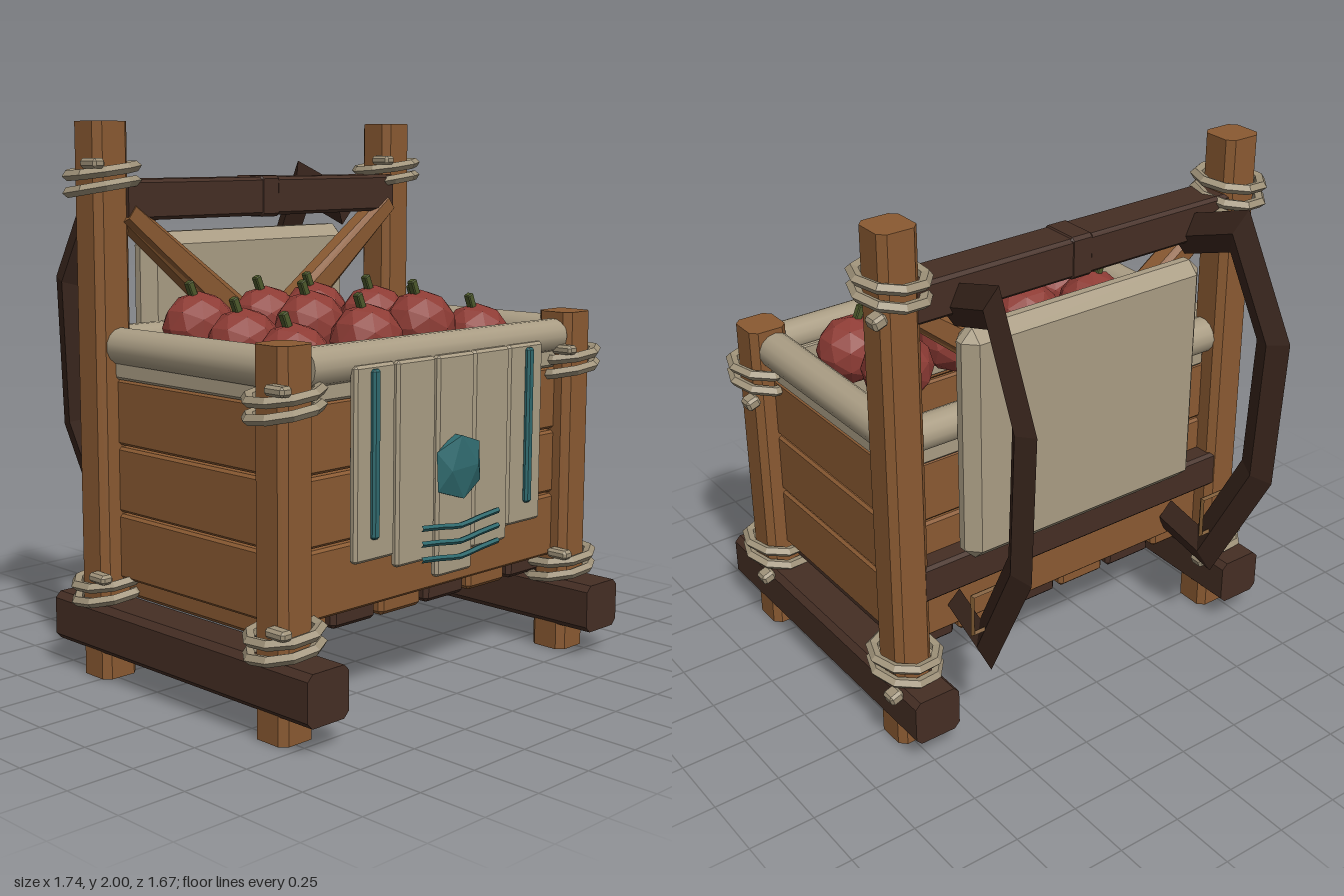
import * as THREE from 'three';
import { ConvexGeometry } from 'three/addons/geometries/ConvexGeometry.js';

const mat = (color, extra = {}) => new THREE.MeshStandardMaterial({ color, flatShading: true, ...extra });
const WOOD = mat(0x8a5a32), DARK = mat(0x452e24), CLOTH = mat(0xaa9d84), ROPE = mat(0xa0937a);
const ROLL = mat(0xaa9d84, { flatShading: false });
const TEAL = mat(0x2f6a6e), RED = mat(0x8e3c35), GREEN = mat(0x4e5a2c), BRASS = mat(0x7a5730);

// Box with every edge chamfered by b
function chamferBox(w, h, d, b) {
  const pts = [];
  for (const x of [-1, 1]) for (const y of [-1, 1]) for (const z of [-1, 1]) for (let a = 0; a < 3; a++) {
    const half = [w / 2 - b, h / 2 - b, d / 2 - b];
    half[a] += b;
    pts.push(new THREE.Vector3(x * half[0], y * half[1], z * half[2]));
  }
  return new ConvexGeometry(pts);
}

// Beam along z with square ends and chamfered long edges
function beam(w, h, length, b) {
  const x = w / 2, y = h / 2;
  const shape = new THREE.Shape([[x - b, -y], [x, b - y], [x, y - b], [x - b, y], [b - x, y], [-x, y - b], [-x, b - y], [b - x, -y]]
    .map(p => new THREE.Vector2(...p)));
  return new THREE.ExtrudeGeometry(shape, { depth: length, bevelEnabled: false }).translate(0, 0, -length / 2);
}

// Strap: diamond cross-section mitred along a path of [z, y] points
function strapGeometry(path, halfWidth, halfThick) {
  const pts = path.map(([z, y]) => new THREE.Vector2(z, y));
  const pos = [], idx = [];
  pts.forEach((p, i) => {
    const a = p.clone().sub(pts[Math.max(i - 1, 0)]).normalize();
    const b = pts[Math.min(i + 1, pts.length - 1)].clone().sub(p).normalize();
    const t = a.clone().add(b).normalize();
    const k = halfWidth / Math.max(t.dot(i ? a : b), 0.75);
    const nz = -t.y * k, ny = t.x * k;
    pos.push(0, p.y + ny, p.x + nz, halfThick, p.y, p.x, 0, p.y - ny, p.x - nz, -halfThick, p.y, p.x);
    if (i) for (let j = 0; j < 4; j++) {
      const c = (i - 1) * 4 + j, d = (i - 1) * 4 + (j + 1) % 4;
      idx.push(c, d, c + 4, d, d + 4, c + 4);
    }
  });
  const g = new THREE.BufferGeometry();
  g.setAttribute('position', new THREE.Float32BufferAttribute(pos, 3));
  g.setIndex(idx);
  const flat = g.toNonIndexed();
  flat.computeVertexNormals();
  return flat;
}

export function createModel() {
  const model = new THREE.Group();
  const add = (name, geo, material, x, y, z, parent = model) => {
    const m = new THREE.Mesh(geo, material);
    m.name = name;
    m.position.set(x, y, z);
    parent.add(m);
    return m;
  };
  const box = (name, material, w, h, d, x, y, z, b = 0.01, parent = model) =>
    add(name, chamferBox(w, h, d, b), material, x, y, z, parent);

  const PX = 0.73, FZ = 0.635, BZ = -0.295;

  // Rope lashing: two tilted loops and two loose ends
  const loop = new THREE.TorusGeometry(0.121, 0.023, 5, 9);
  loop.rotateX(Math.PI / 2).scale(1, 0.85, 1);
  const lashing = (x, y, z) => {
    const g = new THREE.Group();
    g.name = 'ropeLashing';
    g.position.set(x, y, z);
    [0.028, -0.028].forEach((dy, i) => {
      const r = add('ropeLoop', loop, ROPE, 0, dy, 0, g);
      r.rotation.set(i ? -0.12 : -0.06, 0, 0.12);
    });
    box('ropeEnd', ROPE, 0.055, 0.045, 0.06, 0.11, -0.068, -0.09, 0.01, g).rotation.z = -0.35;
    box('ropeEnd', ROPE, 0.05, 0.035, 0.09, -0.09, 0.055, 0.07, 0.01, g);
    model.add(g);
  };

  // Posts, skids and lashings
  const backPost = beam(0.15, 0.15, 2, 0.025).rotateX(Math.PI / 2);
  const frontPost = beam(0.15, 0.15, 1.3, 0.025).rotateX(Math.PI / 2);
  const skid = beam(0.185, 0.18, 1.34, 0.022);
  for (const s of [-1, 1]) {
    add('backPost', backPost, WOOD, s * PX, 1, BZ);
    add('frontPost', frontPost, WOOD, s * PX, 0.65, FZ);
    add('skid', skid, DARK, s * PX, 0.19, 0.17);
    lashing(s * PX, 1.8, BZ);
    lashing(s * PX, 0.33, BZ);
    lashing(s * PX, 1.11, FZ);
    lashing(s * PX, 0.33, FZ);
  }

  // Floor slats, alternating in tone
  for (let i = 0; i < 6; i++)
    box('floorSlat', i % 2 ? DARK : WOOD, 0.212, 0.08, 0.84, -0.588 + i * 0.235, 0.333, 0.17, 0.015);

  // Wall boards, three to a side
  for (let i = 0; i < 3; i++) {
    const y = 0.487 + i * 0.245;
    box('frontBoard', WOOD, 1.34, 0.238, 0.06, 0, y, 0.62);
    box('backBoard', WOOD, 1.34, 0.238, 0.06, 0, y, -0.26);
    for (const s of [-1, 1]) box('sideBoard', WOOD, 0.06, 0.238, 0.82, s * 0.7, y, 0.17);
  }

  // Cloth lining: inner sheet, strip over the boards and rolled rim
  const roll = (len, r1, r2) => new THREE.CylinderGeometry(r1, r2, len, 14);
  for (const [z, inner] of [[0.625, 0.56], [-0.265, -0.215]]) {
    box('liningStrip', CLOTH, 1.3, 0.09, 0.075, 0, 1.14, z);
    box('liningSheet', CLOTH, 1.26, 0.3, 0.025, 0, 1.05, inner, 0.005);
    add('rimRoll', roll(1.32, 0.068, 0.062), ROLL, 0, 1.213, z > 0 ? 0.64 : -0.28).rotation.z = Math.PI / 2;
  }
  for (const s of [-1, 1]) {
    box('liningStrip', CLOTH, 0.075, 0.09, 0.82, s * 0.7, 1.14, 0.17);
    box('liningSheet', CLOTH, 0.025, 0.3, 0.78, s * 0.625, 1.05, 0.17, 0.005);
    add('rimRoll', roll(0.84, 0.07, 0.066), ROLL, s * 0.712, 1.213, 0.17).rotation.x = Math.PI / 2;
  }

  // Back frame: cross bars, centre band, diagonal braces and padded rest
  const crossBar = beam(0.155, 0.145, 1.36, 0.012).rotateY(Math.PI / 2);
  add('topCrossBar', crossBar, DARK, 0, 1.725, -0.283);
  add('lowerCrossBar', crossBar, DARK, 0, 0.65, -0.29);
  box('crossBarBand', DARK, 0.1, 0.155, 0.16, 0, 1.725, -0.283, 0.012);
  // Braces thicken towards their lower, inner ends
  for (const s of [-1, 1]) {
    const brace = beam(0.1, 0.11, 0.74, 0.02).rotateY(Math.PI / 2);
    const p = brace.attributes.position;
    for (let i = 0; i < p.count; i++) p.setY(i, p.getY(i) * (1 - s * p.getX(i) * 0.7));
    add('diagonalBrace', brace, WOOD, s * 0.375, 1.455, -0.25).rotation.z = s * 0.66;
  }
  box('backPad', CLOTH, 1.04, 0.9, 0.12, 0, 1.15, -0.365, 0.045);

  // Shoulder straps with buckles
  const strap = strapGeometry([[-0.3, 1.665], [-0.575, 1.76], [-0.762, 1.4], [-0.735, 0.86],
    [-0.505, 0.415], [-0.3, 0.475]], 0.074, 0.038);
  const buckle = new THREE.TorusGeometry(0.11, 0.011, 4, 4);
  buckle.rotateZ(Math.PI / 4);
  const strapMat = mat(0x3a261d, { side: THREE.DoubleSide });
  for (const s of [-1, 1]) {
    const m = add('shoulderStrap', strap, strapMat, s * 0.478, 0, 0);
    m.rotation.y = -s * 0.085;
    add('buckle', buckle, BRASS, s * 0.53, 0.605, -0.55);
  }

  // Front banner of five hanging strips
  for (let i = -2; i <= 2; i++) {
    const low = [0.435, 0.505, 0.55][Math.abs(i)];
    box('bannerStrip', CLOTH, 0.192, 1.21 - low, 0.035, i * 0.197, (1.21 + low) / 2, 0.715 - Math.abs(i) * 0.005);
  }
  for (const s of [-1, 1]) box('bannerBar', TEAL, 0.035, 0.57, 0.025, s * 0.403, 0.91, 0.728, 0.008);

  // Faceted gem and three curved stripes beneath it
  const gem = new THREE.IcosahedronGeometry(0.132, 0);
  gem.rotateZ(Math.PI / 2 + 0.06);
  gem.scale(1, 1, 0.28);
  add('gem', gem, TEAL, 0, 0.818, 0.745);
  for (let i = 0; i < 3; i++) {
    const curve = new THREE.CatmullRomCurve3([[-0.205, 0.022], [-0.1, 0.012], [0, 0], [0.1, 0.012], [0.205, 0.022]]
      .map(([x, y]) => new THREE.Vector3(x, y, 0)));
    add('bannerStripe', new THREE.TubeGeometry(curve, 8, 0.011, 5), TEAL, 0, 0.61 - i * 0.055, 0.755);
  }

  // Apples in three rows as [x, y], each with a stem
  const rows = [[-0.09, [[-0.46, 1.27], [-0.135, 1.27], [0.12, 1.27]]],
    [0.165, [[-0.475, 1.23], [-0.15, 1.27], [0.18, 1.27], [0.43, 1.22]]],
    [0.425, [[-0.485, 1.2], [-0.13, 1.24], [0.15, 1.27], [0.465, 1.2]]]];
  const appleGeo = new THREE.IcosahedronGeometry(0.137, 1);
  appleGeo.scale(1, 0.95, 0.95);
  for (const [z, spots] of rows) for (const [x, y] of spots) {
    const g = new THREE.Group();
    g.name = 'apple';
    g.position.set(x, y, z);
    add('appleFlesh', appleGeo, RED, 0, 0, 0, g);
    box('appleStem', GREEN, 0.028, 0.07, 0.028, -0.035, 0.135, 0, 0.004, g).rotation.z = 0.4;
    model.add(g);
  }

  return model;
}
